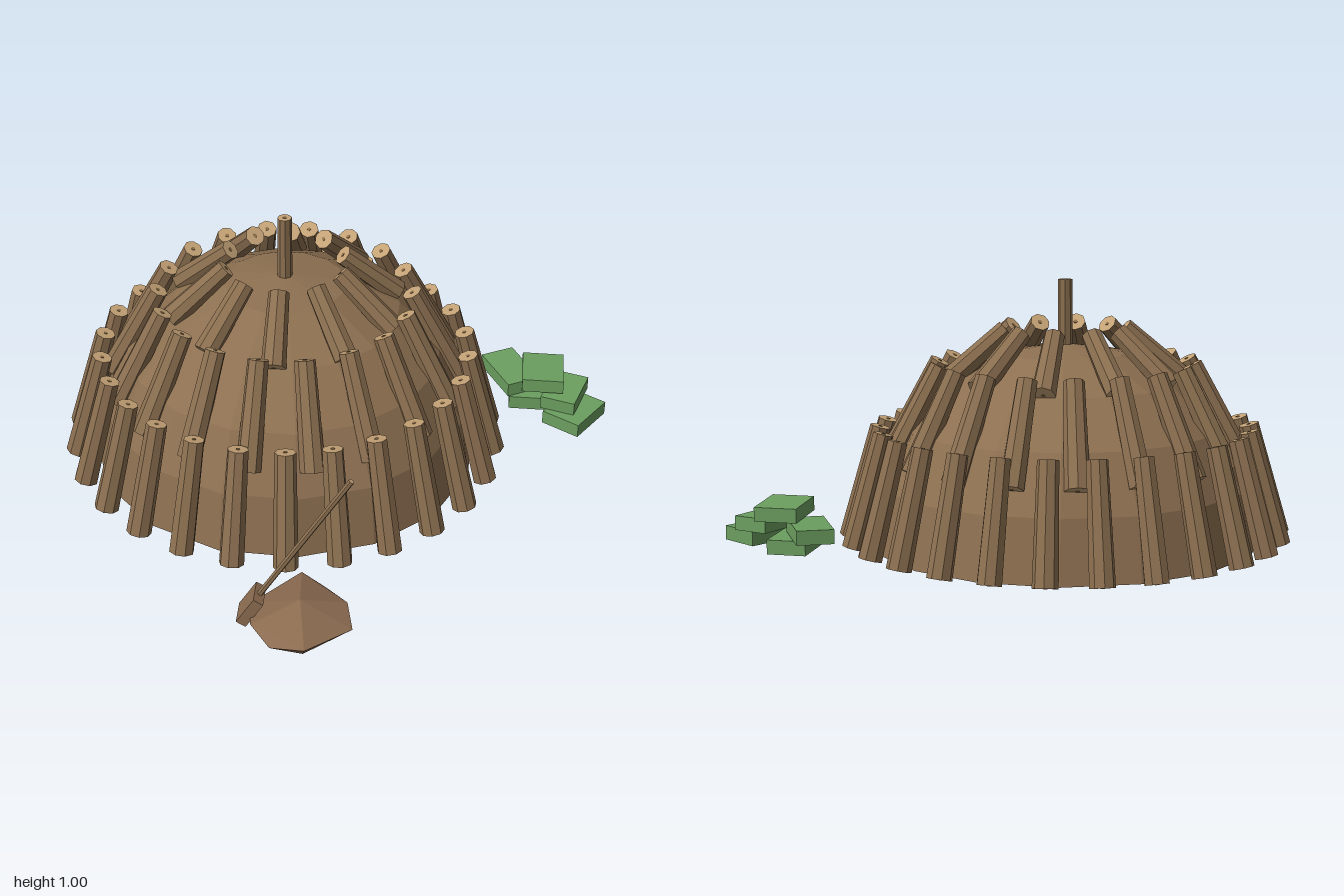
import * as THREE from 'three';
import { ConvexGeometry } from 'three/addons/geometries/ConvexGeometry.js';

const mat = (name, color, flatShading = true) => {
  const m = new THREE.MeshStandardMaterial({ color, flatShading });
  m.name = name;
  return m;
};

export function createModel() {
  const model = new THREE.Group();
  model.name = 'logLodge';
  const bark = mat('bark', 0x8b6f50);
  const wood = mat('cutWood', 0xc4a276);
  const pith = mat('pith', 0x8f7048);
  const earth = mat('earth', 0x8d7051);
  const stone = mat('dirt', 0x8b6b50);
  const green = mat('greenBlock', 0x6c9f60);

  const add = (parent, name, geometry, material) => {
    const mesh = new THREE.Mesh(geometry, material);
    mesh.name = name;
    parent.add(mesh);
    return mesh;
  };

  // A log with pale cut ends and a small pith disc on each end
  function makeLog(name, rTop, rBottom, length) {
    const log = new THREE.Group();
    log.name = name;
    add(log, name + 'Trunk', new THREE.CylinderGeometry(rTop, rBottom, length, 8), [bark, wood, wood]);
    for (const s of [1, -1]) {
      const disc = add(log, name + 'Pith', new THREE.CylinderGeometry(0.008, 0.008, 0.004, 6), pith);
      disc.position.y = s * length / 2;
    }
    return log;
  }

  // Everything of the lodge is arranged around its own centre
  const lodge = new THREE.Group();
  lodge.name = 'lodge';
  lodge.position.set(-0.01, 0, -0.045);
  model.add(lodge);

  // Earth dome with a closed base
  const dome = add(lodge, 'dome', new THREE.SphereGeometry(0.75, 16, 5, 0, Math.PI * 2, 0, Math.PI / 2), earth);
  dome.scale.y = 1.015;
  const base = add(lodge, 'domeBase', new THREE.CircleGeometry(0.75, 16), earth);
  base.rotation.x = Math.PI / 2;

  // Three rings of leaning logs: [name, count, first angle, bottom r, y, top r, y]
  const rings = [
    ['lowerLog', 26, 0, 0.822, 0.014, 0.705, 0.443],
    ['middleLog', 18, 90, 0.67, 0.325, 0.482, 0.685],
    ['upperLog', 10, 0, 0.44, 0.625, 0.225, 0.815],
  ];
  for (const [name, count, start, rb, yb, rt, yt] of rings) {
    for (let i = 0; i < count; i++) {
      const spoke = new THREE.Group();
      spoke.name = name + 'Spoke';
      spoke.rotation.y = THREE.MathUtils.degToRad(start) + i * Math.PI * 2 / count;
      const log = makeLog(name, 0.039, 0.047, Math.hypot(rt - rb, yt - yb));
      log.position.set((rb + rt) / 2, (yb + yt) / 2, 0);
      log.rotation.z = Math.atan2(rb - rt, yt - yb);
      spoke.add(log);
      lodge.add(spoke);
    }
  }

  // Upright post on the crown
  const post = makeLog('centrePost', 0.027, 0.029, 0.3);
  post.position.y = 0.853;
  lodge.add(post);

  // Low dirt heap: faceted rim, narrower foot and a peak
  const rim = [[-1, 0.755], [-0.97, 0.64], [-0.87, 0.55], [-0.64, 0.59],
    [-0.63, 0.7], [-0.66, 0.82], [-0.74, 0.91], [-0.95, 0.87]];
  const heap = [new THREE.Vector3(-0.81, 0.11, 0.73)];
  rim.forEach(([x, z], i) => {
    heap.push(new THREE.Vector3(x, i % 2 ? 0.05 : 0.03, z));
    heap.push(new THREE.Vector3(-0.82 + (x + 0.82) * 0.78, 0, 0.73 + (z - 0.73) * 0.78));
  });
  add(model, 'dirtHeap', new ConvexGeometry(heap), stone);

  // Tool leaning out of the heap: thin handle and a block head
  const tool = new THREE.Group();
  tool.name = 'tool';
  const foot = new THREE.Vector3(-0.905, 0.05, 0.575);
  const tip = new THREE.Vector3(-0.7, 0.625, 0.86);
  const length = foot.distanceTo(tip);
  const heading = Math.atan2(tip.x - foot.x, tip.z - foot.z);
  const lean = Math.acos((tip.y - foot.y) / length);
  tool.position.copy(foot);
  tool.rotation.set(lean, heading, 0, 'YXZ');
  model.add(tool);
  const handle = add(tool, 'toolHandle', new THREE.CylinderGeometry(0.011, 0.011, length, 6), [bark, wood, wood]);
  handle.position.y = length / 2;
  const head = add(tool, 'toolHead', new THREE.BoxGeometry(0.1, 0.12, 0.04), stone);
  head.position.y = 0.015;

  // Pile of green blocks: [x, y, z, width, depth, turn in degrees, tilt]
  const blocks = [
    [0.855, 0.031, 0.745, 0.21, 0.165, 3, 0],
    [0.865, 0.031, 0.51, 0.2, 0.15, 35, 0],
    [0.875, 0.088, 0.68, 0.2, 0.14, 18, 0.03],
    [0.855, 0.088, 0.425, 0.14, 0.24, -27, 0.02],
    [0.86, 0.147, 0.58, 0.21, 0.165, 35, -0.03],
  ];
  for (const [x, y, z, w, d, turn, tilt] of blocks) {
    const block = add(model, 'greenBlock', new THREE.BoxGeometry(w, 0.055, d), green);
    block.position.set(x, y, z);
    block.rotation.set(0, THREE.MathUtils.degToRad(turn), tilt);
  }
  return model;
}
